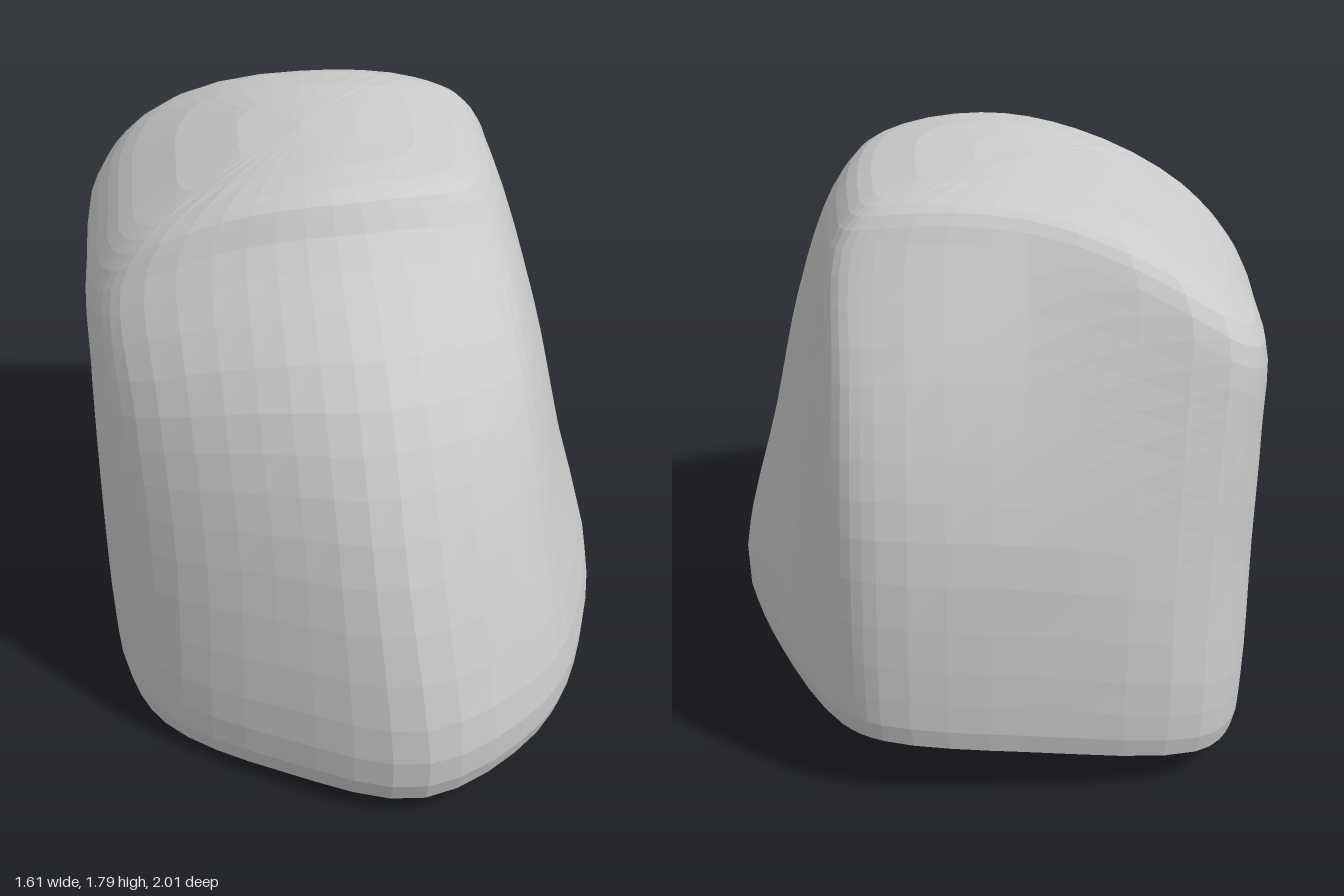
import * as THREE from 'three';

// Outlines (x, z) of the boulder, running left, back, right, front
const low = [[-.77, -.25], [-.75, -.72], [-.62, -.91], [-.1, -.99], [.34, -.985], [.47, -.9], [.68, -.47],
  [.8, -.02], [.74, .45], [.58, .78], [.2, 1], [-.25, .82], [-.62, .55], [-.75, .25]];
const middle = [[-.79, -.27], [-.76, -.7], [-.63, -.88], [-.1, -.97], [.34, -.96], [.47, -.88], [.6, -.45],
  [.69, -.05], [.64, .4], [.53, .64], [.14, .87], [-.25, .74], [-.62, .5], [-.76, .25]];
const shoulder = [[-.8, -.3], [-.77, -.7], [-.65, -.85], [-.1, -.85], [.34, -.82], [.46, -.76], [.54, -.42],
  [.6, -.1], [.57, .24], [.47, .45], [.1, .63], [-.28, .56], [-.65, .36], [-.77, .15]];
const crown = [[-.79, -.3], [-.77, -.68], [-.66, -.8], [-.1, -.69], [.33, -.62], [.45, -.56], [.48, -.38],
  [.49, -.2], [.47, 0], [.4, .14], [.05, .25], [-.3, .22], [-.68, .12], [-.77, 0]];

// Rows from underside to top: outline, scale, height share, steps to the next row
const rows = [
  [low, 0, 0, 2], [low, .9, 0, 1], [low, .975, .02, 2], [low, 1, .12, 4], [middle, 1, .45, 4],
  [shoulder, 1, .72, 4], [crown, 1, .93, 2], [crown, .9, .975, 2], [crown, .78, .99, 3], [crown, 0, 1, 0],
];

// Tilted underside and arched top
const floorAt = (x, z) => .1 + .1 * x - .065 * z;
const roofAt = (x) => x < .08 ? 1.81 - .33 * ((.08 - x) / .85) ** 2.2 : 1.81 - .45 * (x - .08) ** 2;

function ring([outline, scale, share], count) {
  const cx = -.12, cz = -.22;
  const curve = new THREE.CatmullRomCurve3(outline.map(([x, z]) =>
    new THREE.Vector3(cx + (x - cx) * scale, share, cz + (z - cz) * scale)), true);
  if (scale === 0) return Array.from({ length: count }, () => new THREE.Vector3(cx, share, cz));
  return Array.from({ length: count }, (_, j) => curve.getPoint(j / count));
}

function boulderGeometry() {
  const count = 56;
  const rings = rows.map((row) => ring(row, count));
  const levels = [];
  rows.forEach((row, i) => {
    for (let s = 0; s < row[3]; s++) levels.push((i + s / row[3]) / (rows.length - 1));
  });
  levels.push(1);

  // Smooth columns through the rows, bent to the floor and roof
  const columns = Array.from({ length: count }, (_, j) =>
    new THREE.CatmullRomCurve3(rings.map((r) => r[j])));
  const positions = [], index = [];
  for (const u of levels) {
    for (const column of columns) {
      const p = column.getPoint(u);
      const base = floorAt(p.x, p.z);
      positions.push(p.x, base + (roofAt(p.x) - base) * THREE.MathUtils.clamp(p.y, 0, 1), p.z);
    }
  }
  const last = levels.length - 2;
  for (let i = 0; i <= last; i++) {
    for (let j = 0; j < count; j++) {
      const a = i * count + j, b = i * count + (j + 1) % count;
      const c = a + count, d = b + count;
      if (i > 0) index.push(a, c, b);
      if (i < last) index.push(b, c, d);
    }
  }
  const geometry = new THREE.BufferGeometry();
  geometry.setAttribute('position', new THREE.Float32BufferAttribute(positions, 3));
  geometry.setIndex(index);
  geometry.computeVertexNormals();
  return geometry;
}

export function createModel() {
  const group = new THREE.Group();
  group.name = 'rock';
  const boulder = new THREE.Mesh(boulderGeometry(),
    new THREE.MeshStandardMaterial({ color: 0xcccccc, flatShading: true }));
  boulder.name = 'boulder';
  group.add(boulder);
  return group;
}
